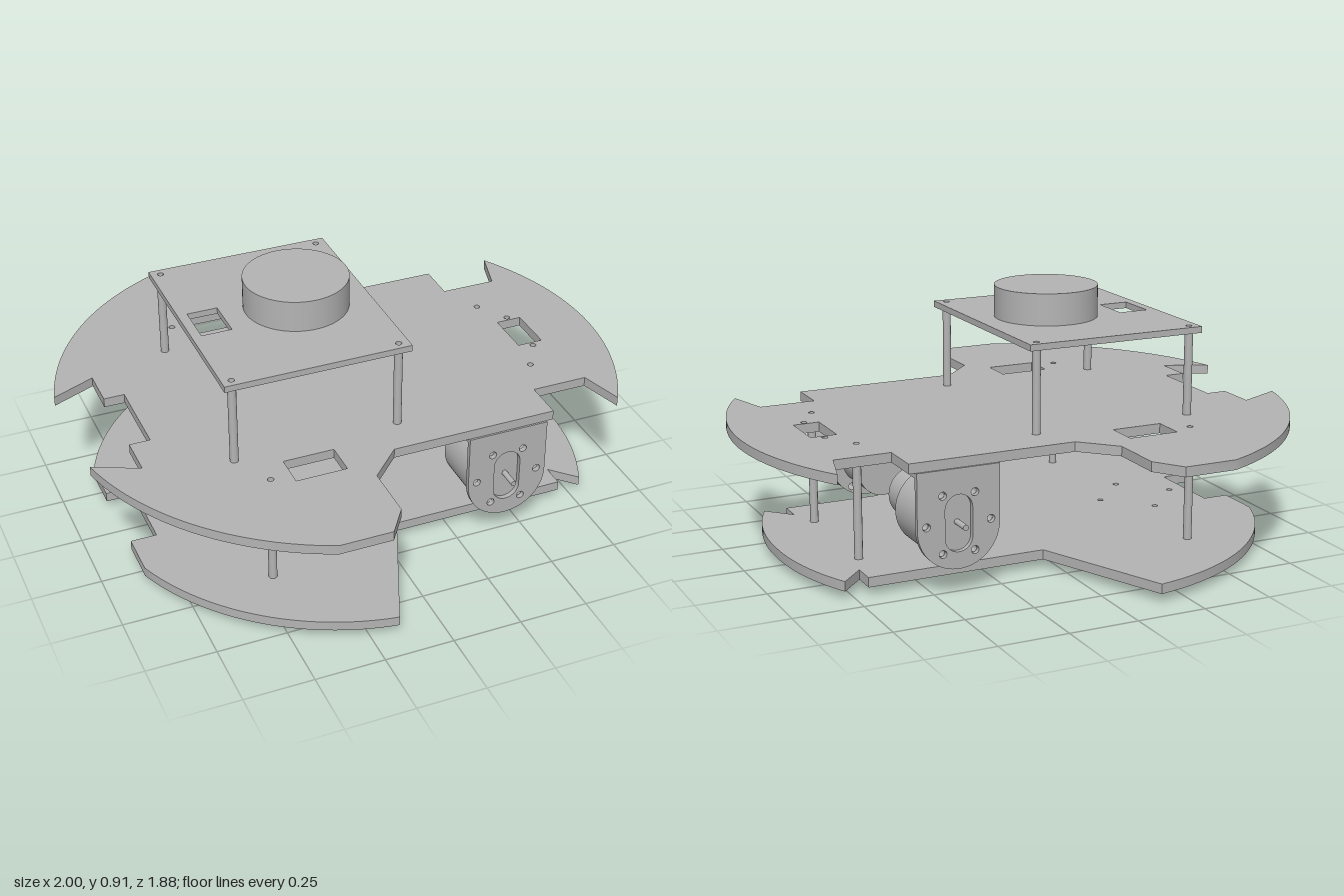
import * as THREE from 'three';
import { toCreasedNormals } from 'three/addons/utils/BufferGeometryUtils.js';

const grey = new THREE.MeshStandardMaterial({ color: 0xb4b4b4 });
grey.name = 'light grey';

function addMesh(parent, name, geometry) {
  const mesh = new THREE.Mesh(geometry, grey);
  mesh.name = name;
  parent.add(mesh);
  return mesh;
}

function circle(x, y, r) {
  return new THREE.Path().absarc(x, y, r, 0, Math.PI * 2, true);
}

function polygon(points, Type = THREE.Shape) {
  return new Type(points.map(([x, y]) => new THREE.Vector2(x, y)));
}

function rect(x0, x1, y0, y1, Type = THREE.Path) {
  return polygon([[x0, y0], [x1, y0], [x1, y1], [x0, y1]], Type);
}

// Both signs of z for a list of [x, z] positions
const mirrored = (list) => list.flatMap(([x, z]) => [[x, z], [x, -z]]);

function extrude(shape, depth, curveSegments = 20) {
  const g = new THREE.ExtrudeGeometry(shape, { depth, bevelEnabled: false, curveSegments });
  return toCreasedNormals(g, 0.5);
}

// Horizontal plate: shape coordinates are (x, z)
function plate(shape, bottom, top, segments) {
  return extrude(shape, top - bottom, segments).rotateX(Math.PI / 2).translate(0, top, 0);
}

// Points on a circle centred on (cx, 0) between two outline points
function arc(cx, from, to, n) {
  const a = Math.atan2(from[1], from[0] - cx), b = Math.atan2(to[1], to[0] - cx);
  const r0 = Math.hypot(from[0] - cx, from[1]), r1 = Math.hypot(to[0] - cx, to[1]);
  return Array.from({ length: n + 1 }, (_, i) => {
    const t = i / n, r = r0 + (r1 - r0) * t, q = a + (b - a) * t;
    return [cx + r * Math.cos(q), r * Math.sin(q)];
  });
}

// Closed outline from its z > 0 half, running from the +x tip to the notch
function symmetric(half) {
  const other = half.slice(1).reverse().map(([x, z]) => [x, -z]);
  return polygon([...half, ...other]);
}

// Hollow standoff
function post(parent, name, x, z, bottom, top) {
  const ring = new THREE.Shape().absarc(0, 0, 0.015, 0, Math.PI * 2, false);
  ring.holes.push(circle(0, 0, 0.01));
  addMesh(parent, name, plate(ring, bottom, top, 10)).position.set(x, 0, z);
}

// Motor with its bracket, facing +z and centred on x = 0
function makeMotor() {
  const group = new THREE.Group();
  const cy = 0.25;
  const bolts = Array.from({ length: 6 }, (_, i) => {
    const a = i * Math.PI / 3;
    return [0.117 * Math.cos(a), cy + 0.117 * Math.sin(a)];
  });

  // Bracket face with slot and bolt holes
  const face = new THREE.Shape();
  face.moveTo(0.15, 0.44);
  face.lineTo(-0.15, 0.44);
  face.lineTo(-0.15, 0.24);
  face.absarc(0, 0.24, 0.15, Math.PI, Math.PI * 2, false);
  const slot = new THREE.Path();
  slot.absarc(0, 0.3, 0.05, 0, Math.PI, false);
  slot.absarc(0, 0.2, 0.05, Math.PI, Math.PI * 2, false);
  face.holes.push(slot, ...bolts.map(([x, y]) => circle(x, y, 0.014)));
  addMesh(group, 'bracketFace', extrude(face, 0.018)).position.z = 0.512;

  addMesh(group, 'bracketFlange', new THREE.BoxGeometry(0.3, 0.02, 0.29)).position.set(0, 0.43, 0.367);

  // Gearbox drilled in line with the bracket
  const body = new THREE.Shape().absarc(0, cy, 0.138, 0, Math.PI * 2, false);
  body.holes.push(...bolts.map(([x, y]) => circle(x, y, 0.013)));
  addMesh(group, 'gearbox', extrude(body, 0.202, 24)).position.z = 0.31;

  const rod = (name, r, z0, z1) => addMesh(group, name,
    new THREE.CylinderGeometry(r, r, z1 - z0, 40).rotateX(Math.PI / 2))
    .position.set(0, cy, (z0 + z1) / 2);
  rod('motorCan', 0.093, 0.14, 0.311);
  rod('shaft', 0.01, 0.5, 0.585);
  return group;
}

export function createModel() {
  const model = new THREE.Group();
  const deckPosts = mirrored([[-0.54, 0.377], [0.06, 0.377]]);
  const platePosts = mirrored([[0.66, 0.222], [-0.465, 0.525]]);
  const tailHoles = mirrored([[0.73, 0.107]]);
  const drill = (shape, list) => shape.holes.push(...list.map(([x, z]) => circle(x, z, 0.011)));

  // Main plate
  const main = symmetric([
    ...arc(-0.014, [1, 0], [0.845, 0.535], 14),
    [0.8, 0.375], [0.595, 0.375], [0.595, 0.523], [-0.015, 0.523],
    [-0.13, 0.64], [-0.13, 0.84], [-0.2, 0.94],
    ...arc(-0.014, [-0.39, 0.94], [-1, 0.228], 24),
    [-0.84, 0.3], [-0.84, 0.152], [-0.765, 0.152],
  ]);
  main.holes.push(
    rect(-0.39, -0.205, 0.445, 0.565), rect(-0.39, -0.205, -0.565, -0.445),
    rect(0.68, 0.775, -0.088, 0.088));
  drill(main, [...deckPosts, ...platePosts, ...tailHoles]);
  addMesh(model, 'mainPlate', plate(main, 0.44, 0.475));

  // Lower plate
  const lower = symmetric([
    ...arc(-0.02, [0.88, 0], [0.785, 0.418], 12),
    [0.7, 0.33], [0.7, 0.415], [0.05, 0.415],
    ...arc(-0.02, [-0.15, 0.89], [-0.86, 0.315], 22),
    [-0.86, 0.152], [-0.765, 0.152],
  ]);
  drill(lower, [...platePosts, [-0.4, 0], [-0.7, 0], [-0.55, 0.15], [-0.55, -0.15]]);
  addMesh(model, 'lowerPlate', plate(lower, 0.03, 0.065));

  // Foot disc under the lower plate
  const foot = new THREE.Shape().absarc(-0.55, 0, 0.18, 0, Math.PI * 2, false);
  drill(foot, [[-0.4, 0], [-0.7, 0], [-0.55, 0.15], [-0.55, -0.15]]);
  addMesh(model, 'footDisc', plate(foot, 0, 0.03, 28));

  // Upper deck and sensor puck
  const deck = rect(-0.575, 0.098, -0.408, 0.408, THREE.Shape);
  deck.holes.push(rect(-0.54, -0.43, -0.077, 0.077));
  drill(deck, deckPosts);
  addMesh(model, 'upperDeck', plate(deck, 0.775, 0.798));
  addMesh(model, 'sensorPuck', new THREE.CylinderGeometry(0.187, 0.187, 0.115, 64))
    .position.set(-0.165, 0.8555, 0);

  // Standoffs
  for (const [x, z] of deckPosts) post(model, 'deckPost', x, z, 0.475, 0.775);
  for (const [x, z] of platePosts) post(model, 'platePost', x, z, 0.065, 0.44);

  // Motors
  for (const side of ['front', 'back']) {
    const motor = makeMotor();
    motor.name = side + 'Motor';
    motor.position.x = 0.42;
    if (side === 'back') motor.rotation.y = Math.PI;
    model.add(motor);
  }
  return model;
}
